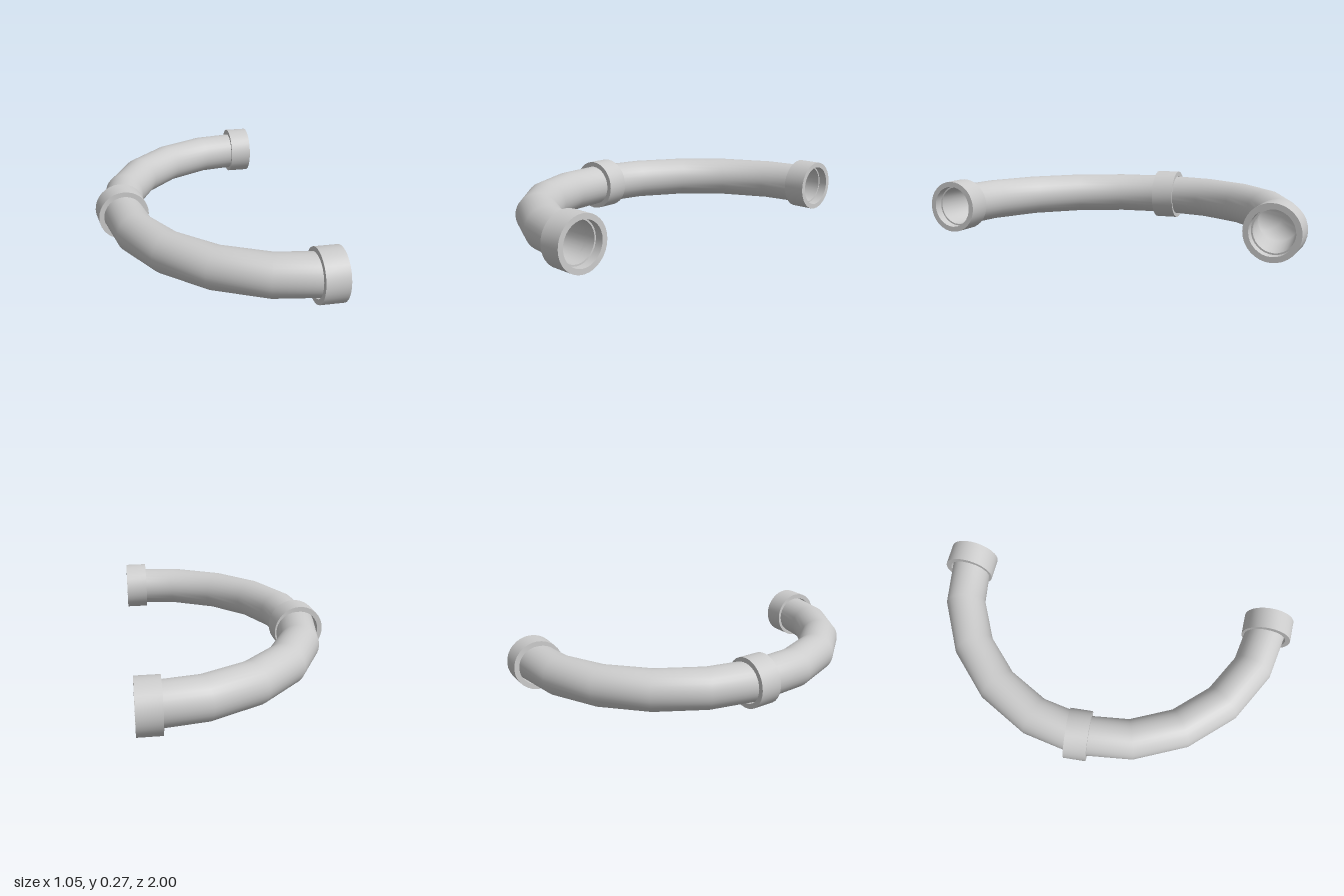
import * as THREE from 'three';
import { toCreasedNormals } from 'three/addons/utils/BufferGeometryUtils.js';

const SIDES = 32;
const Y = 0.135;          // height of the pipe axis
const CX = 0.477;         // centre of the half circle
const BEND = 0.867;       // bend radius
const PIPE_OUT = 0.108, PIPE_IN = 0.1;
const COLLAR_OUT = 0.135, COLLAR_IN = 0.108, COLLAR_HALF = 0.06;

// Half circle opening towards +x
class BendCurve extends THREE.Curve {
  getPoint(t, target = new THREE.Vector3()) {
    const a = (t - 0.5) * Math.PI;
    return target.set(CX - BEND * Math.cos(a), Y, BEND * Math.sin(a));
  }
}

export function createModel() {
  const model = new THREE.Group();
  const solid = new THREE.MeshStandardMaterial({ color: 0xcccccc });
  const inside = new THREE.MeshStandardMaterial({ color: 0xcccccc, side: THREE.BackSide });

  const add = (name, geometry, material = solid) => {
    const mesh = new THREE.Mesh(geometry, material);
    mesh.name = name;
    model.add(mesh);
    return mesh;
  };

  // Hollow pipe: five straight sections per quarter turn
  const curve = new BendCurve();
  add('pipeOuterWall', new THREE.TubeGeometry(curve, 10, PIPE_OUT, SIDES));
  add('pipeInnerWall', new THREE.TubeGeometry(curve, 10, PIPE_IN, SIDES), inside);

  // Collar ring, axis along y before it is turned
  const profile = [
    [COLLAR_IN, -COLLAR_HALF], [COLLAR_OUT, -COLLAR_HALF],
    [COLLAR_OUT, COLLAR_HALF], [COLLAR_IN, COLLAR_HALF], [COLLAR_IN, -COLLAR_HALF],
  ].map(([r, y]) => new THREE.Vector2(r, y));
  const collar = toCreasedNormals(new THREE.LatheGeometry(profile, SIDES), 0.7);

  // Pipe rims and end collars
  for (const [name, side] of [['front', 1], ['back', -1]]) {
    const rim = add(name + 'PipeRim', new THREE.RingGeometry(PIPE_IN, PIPE_OUT, SIDES));
    rim.rotation.y = Math.PI / 2;
    rim.position.set(CX, Y, side * BEND);

    const end = add(name + 'Collar', collar);
    end.rotation.z = -Math.PI / 2;
    end.position.set(0.462, Y, side * BEND);
  }

  // Middle collar, slightly askew
  const middle = add('middleCollar', collar);
  middle.rotation.set(Math.PI / 2, 0, -0.085);
  middle.position.set(-0.389, Y, -0.012);

  return model;
}
